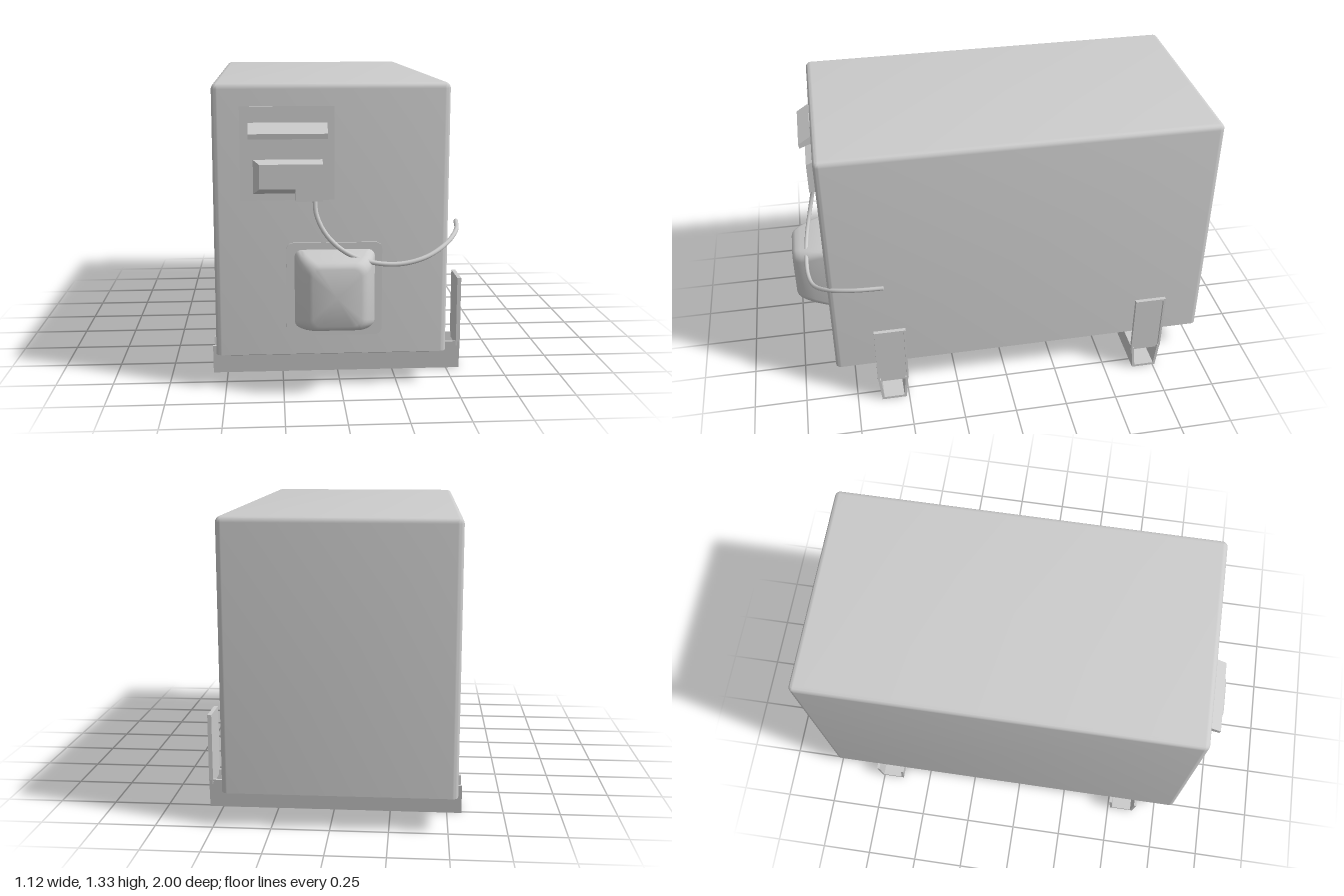
import * as THREE from 'three';
import { toCreasedNormals } from 'three/addons/utils/BufferGeometryUtils.js';

const material = new THREE.MeshStandardMaterial({ color: 0xcccccc, side: THREE.DoubleSide });

function add(parent, name, geometry, x = 0, y = 0, z = 0) {
  const mesh = new THREE.Mesh(geometry, material);
  mesh.name = name;
  mesh.position.set(x, y, z);
  parent.add(mesh);
  return mesh;
}

// Closed loft along z through rounded rectangles [z, halfX, halfY, cornerRadius]
function loft(rings, crease = 0.6, steps = 6) {
  const loops = rings.map(([z, hx, hy, r]) => {
    const loop = [];
    for (let c = 0; c < 4; c++) {
      const sx = c === 0 || c === 3 ? 1 : -1;
      const sy = c < 2 ? 1 : -1;
      for (let i = 0; i <= steps; i++) {
        const a = (c + i / steps) * Math.PI / 2;
        loop.push([sx * (hx - r) + r * Math.cos(a), sy * (hy - r) + r * Math.sin(a), z]);
      }
    }
    return loop;
  });
  const p = [];
  const n = loops[0].length;
  const last = loops[loops.length - 1];
  for (let j = 0; j < n; j++) {
    const k = (j + 1) % n;
    for (let i = 0; i < loops.length - 1; i++) {
      const [a, b, c, d] = [loops[i][j], loops[i][k], loops[i + 1][k], loops[i + 1][j]];
      p.push(...a, ...b, ...c, ...a, ...c, ...d);
    }
    p.push(0, 0, last[0][2], ...last[j], ...last[k]);
    p.push(0, 0, loops[0][0][2], ...loops[0][k], ...loops[0][j]);
  }
  const g = new THREE.BufferGeometry();
  g.setAttribute('position', new THREE.Float32BufferAttribute(p, 3));
  return toCreasedNormals(g, crease);
}

function polygon(points) {
  return new THREE.Shape(points.map(([x, y]) => new THREE.Vector2(x, y)));
}

// Extrude a (z, y) profile along +x
function alongX(points, x0, length) {
  const g = new THREE.ExtrudeGeometry(polygon(points), { depth: length, bevelEnabled: false });
  return g.rotateY(Math.PI / 2).scale(1, 1, -1).translate(x0, 0, 0);
}

// Same as alongX, but restores outward winding after the mirror
function profileX(points, x0, length) {
  const g = alongX(points, x0, length).toNonIndexed();
  const pos = g.attributes.position;
  const a = new THREE.Vector3(), b = new THREE.Vector3();
  for (let i = 0; i < pos.count; i += 3) {
    a.fromBufferAttribute(pos, i + 1);
    b.fromBufferAttribute(pos, i + 2);
    pos.setXYZ(i + 1, b.x, b.y, b.z);
    pos.setXYZ(i + 2, a.x, a.y, a.z);
  }
  g.computeVertexNormals();
  return g;
}

// Cross rail: upward-open channel with an upright bracket at its +x end
function makeRail(z) {
  const rail = new THREE.Group();
  rail.name = 'mountingRail';
  const channel = [
    [-0.06, 0], [0.06, 0], [0.073, 0.13], [0.06, 0.13], [0.049, 0.013],
    [-0.049, 0.013], [-0.06, 0.13], [-0.073, 0.13],
  ];
  add(rail, 'railChannel', profileX(channel, -0.565, 1.125));
  add(rail, 'uprightPlate', new THREE.BoxGeometry(0.006, 0.32, 0.146), 0.545, 0.27, 0);
  for (const s of [-1, 1]) {
    add(rail, 'uprightFlange', new THREE.BoxGeometry(0.018, 0.3, 0.01), 0.551, 0.28, s * 0.07);
  }
  add(rail, 'uprightTopLip', new THREE.BoxGeometry(0.018, 0.01, 0.15), 0.551, 0.425, 0);
  rail.position.z = z;
  return rail;
}

export function createModel() {
  const group = new THREE.Group();

  // Main housing: softened top and vertical edges, sharp lower edge
  const r = 0.025;
  const rings = [[0.155, 0.5, 0.92, r]];
  for (let i = 0; i <= 5; i++) {
    const a = i / 5 * Math.PI / 2;
    const inset = r * (1 - Math.cos(a));
    rings.push([1.3 + r * Math.sin(a), 0.5 - inset, 0.92 - inset, r - inset + 0.001]);
  }
  add(group, 'housing', loft(rings).rotateX(-Math.PI / 2), -0.04, 0, -0.08);

  // Tapered underside
  const base = loft([[0.13, 0.44, 0.855, 0.005], [0.156, 0.47, 0.885, 0.005]], 0.3);
  add(group, 'taperedBase', base.rotateX(-Math.PI / 2), -0.04, 0, -0.08);

  group.add(makeRail(0.573), makeRail(-0.703));

  // Control panel with hooded handle
  add(group, 'controlPanel', new THREE.BoxGeometry(0.395, 0.395, 0.008), -0.2275, 1.0325, 0.842);
  const hood = [[0.84, 1.125], [0.905, 1.1], [0.908, 1.122], [0.845, 1.163], [0.84, 1.163]];
  add(group, 'hoodedHandle', profileX(hood, -0.39, 0.33));

  // Cable connector: stepped block with its front face drawn in
  const back = [[-0.375, 1.01], [-0.375, 0.86], [-0.195, 0.86], [-0.195, 0.835], [-0.08, 0.835], [-0.08, 1.01]];
  const front = [[-0.345, 0.992], [-0.345, 0.888], [-0.195, 0.888], [-0.195, 0.835], [-0.08, 0.835], [-0.08, 0.992]];
  const connector = new THREE.ExtrudeGeometry(polygon(back), { depth: 0.045, bevelEnabled: false });
  const pos = connector.attributes.position;
  for (let i = 0; i < pos.count; i++) {
    if (pos.getZ(i) < 0.02) continue;
    const k = back.findIndex(([x, y]) => Math.hypot(x - pos.getX(i), y - pos.getY(i)) < 1e-3);
    pos.setXY(i, ...front[k]);
  }
  connector.computeVertexNormals();
  add(group, 'cableConnector', connector, 0, 0, 0.84);

  // Loose cable sweeping around the front corner
  const path = new THREE.CatmullRomCurve3([
    [-0.113, 0.85, 0.862], [-0.108, 0.78, 0.878], [-0.07, 0.7, 0.9], [0, 0.633, 0.92],
    [0.1, 0.588, 0.93], [0.23, 0.572, 0.928], [0.35, 0.592, 0.902], [0.45, 0.634, 0.835],
    [0.515, 0.668, 0.72], [0.54, 0.682, 0.585],
  ].map((p) => new THREE.Vector3(...p)));
  add(group, 'cable', new THREE.TubeGeometry(path, 48, 0.01, 10, false));
  const tip = add(group, 'cableEnd', new THREE.CircleGeometry(0.01, 10), ...path.getPoint(1).toArray());
  tip.lookAt(path.getPoint(1).add(path.getTangent(1)));

  // Rounded cover on its backing plate
  const plate = loft([[0, 0.205, 0.205, 0.03], [0.01, 0.205, 0.205, 0.03]]);
  add(group, 'coverPlate', plate, -0.03, 0.445, 0.838);
  const cover = loft([
    [0, 0.173, 0.173, 0.03], [0.03, 0.166, 0.17, 0.035], [0.07, 0.158, 0.162, 0.04],
    [0.115, 0.142, 0.152, 0.045], [0.138, 0.128, 0.145, 0.045], [0.152, 0.114, 0.135, 0.04],
    [0.158, 0.1, 0.122, 0.035],
  ], 0.7);
  add(group, 'roundedCover', cover, -0.028, 0.448, 0.842);

  return group;
}
